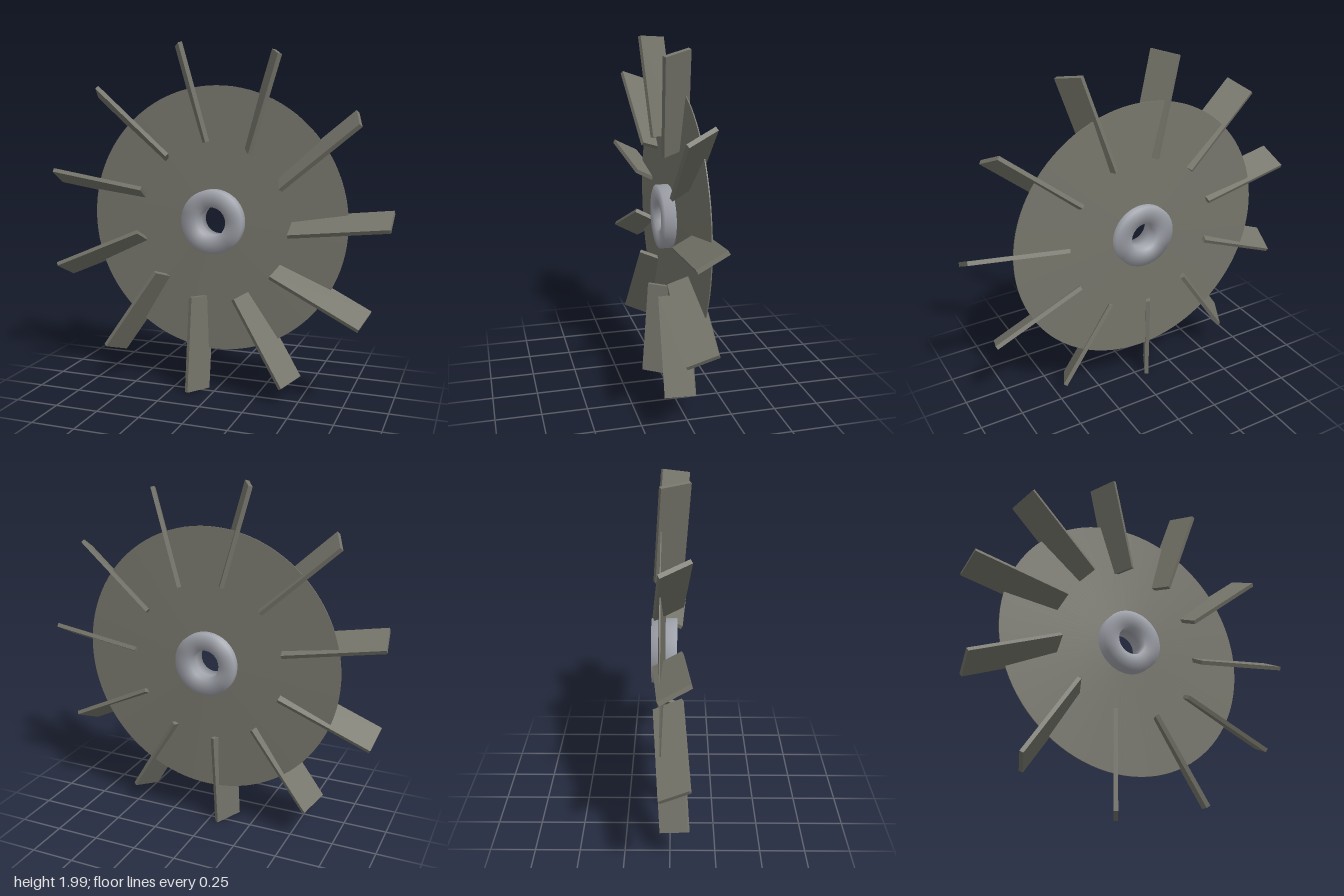
import * as THREE from 'three';

const BLADES = 11;
const plateMat = new THREE.MeshStandardMaterial({ color: 0x75756b });
const hubMat = new THREE.MeshStandardMaterial({ color: 0xa0a3ab });

// Surface of revolution about the z axis from [radius, z] pairs
function turned(name, profile, material) {
  const points = profile.map(([r, z]) => new THREE.Vector2(r, z));
  const geometry = new THREE.LatheGeometry(points, 96).rotateX(Math.PI / 2);
  const mesh = new THREE.Mesh(geometry, material);
  mesh.name = name;
  return mesh;
}

// One pitched blade: a box whose length leans forward and sideways
function bladeGeometry() {
  const along = new THREE.Vector3(0.55, 0.065, 0.035).normalize();
  const across = new THREE.Vector3(0, 0.47, -0.88);
  across.addScaledVector(along, -across.dot(along)).normalize();
  const thick = new THREE.Vector3().crossVectors(across, along).normalize();
  const basis = new THREE.Matrix4().makeBasis(along, thick, across.negate());
  if (basis.determinant() < 0) basis.makeBasis(along, thick.negate(), across);
  basis.setPosition(0.721, 0.02, 0.008);
  return new THREE.BoxGeometry(0.555, 0.023, 0.17).applyMatrix4(basis);
}

export function createModel() {
  const model = new THREE.Group();
  model.name = 'fanWheel';
  model.position.set(-0.006, 1.01, 0);

  // Thin lens-shaped disc, thickest near the hub
  const disc = new THREE.Group();
  disc.name = 'disc';
  disc.position.z = -0.046;
  disc.add(
    turned('discFront', [[0.755, 0], [0.755, 0.003], [0.755, 0.003], [0.1, 0.022]].slice(2), plateMat),
    turned('discBack', [[0.1, -0.022], [0.755, -0.003]], plateMat),
    turned('discRim', [[0.755, -0.003], [0.755, 0.003]], plateMat)
  );
  model.add(disc);

  // Bored hub with softly shaded corners
  const hub = turned('hub', [
    [0.083, -0.034], [0.083, -0.105], [0.18, -0.105],
    [0.18, 0.037], [0.083, 0.037], [0.083, -0.034]
  ], hubMat);
  model.add(hub);

  // Ring of blades
  const geometry = bladeGeometry();
  const blades = new THREE.Group();
  blades.name = 'blades';
  for (let i = 0; i < BLADES; i++) {
    const blade = new THREE.Mesh(geometry, plateMat);
    blade.name = 'blade';
    blade.rotation.z = (i / BLADES) * Math.PI * 2;
    blades.add(blade);
  }
  model.add(blades);

  const root = new THREE.Group();
  root.add(model);
  return root;
}
